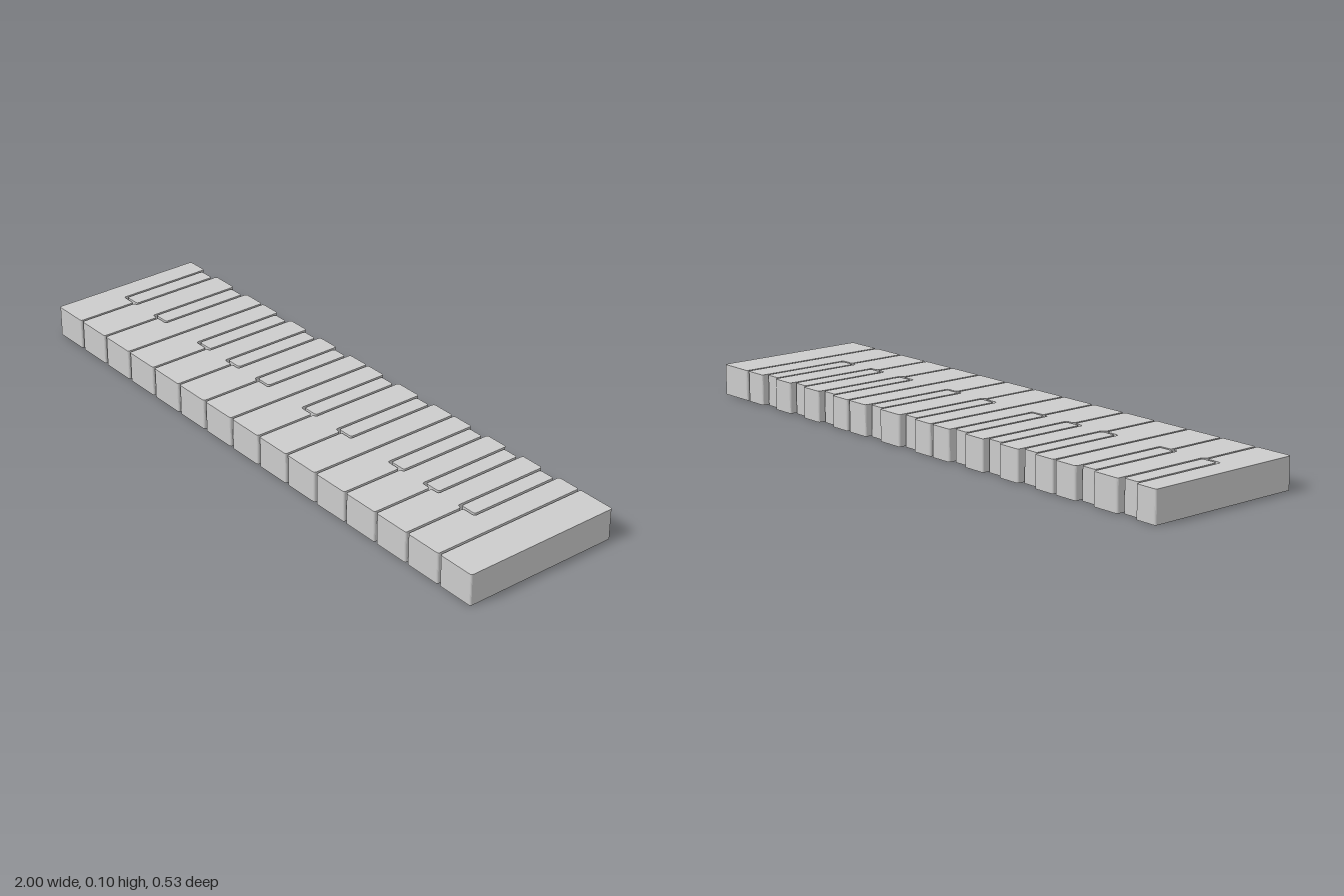
import * as THREE from 'three';

const HEIGHT = 0.1, BACK = -0.265, FRONT = 0.265;
const GAP = 0.008, WHITE_COUNT = 15;
const PITCH = (2 + GAP) / WHITE_COUNT, OCTAVE = 7 * PITCH;
const SHARP_HALF = 0.027, NOTCH_HALF = 0.035, NOTCH_Z = 0.061;
const SHARP_BACK = -0.25, SHARP_FRONT = 0.053, RADIUS = 0.008;

// sharp key centres in the first octave, by the natural key on their right-hand edge
const SHARPS = { 0: -0.89, 1: -0.725, 3: -0.487, 4: -0.336, 5: -0.185 };

const material = new THREE.MeshStandardMaterial({ color: 0xcccccc });

// closed outline of [x, z] corners, each eased by a small radius
function roundedShape(corners) {
  const shape = new THREE.Shape();
  const pts = corners.map(([x, z]) => new THREE.Vector2(x, -z));
  const n = pts.length;
  pts.forEach((p, i) => {
    const toward = (q) => p.clone().add(q.clone().sub(p).setLength(RADIUS));
    const a = toward(pts[(i + n - 1) % n]), b = toward(pts[(i + 1) % n]);
    if (i === 0) shape.moveTo(a.x, a.y);
    else shape.lineTo(a.x, a.y);
    shape.quadraticCurveTo(p.x, p.y, b.x, b.y);
  });
  shape.closePath();
  return shape;
}

function makeKey(name, corners) {
  const geometry = new THREE.ExtrudeGeometry(roundedShape(corners), {
    depth: HEIGHT, bevelEnabled: false, curveSegments: 4,
  });
  geometry.rotateX(-Math.PI / 2);
  const mesh = new THREE.Mesh(geometry, material);
  mesh.name = name;
  return mesh;
}

// centre of the sharp key to the right of natural key i, if there is one
function sharpAfter(i) {
  if (i < 0 || i >= WHITE_COUNT - 1) return undefined;
  const base = SHARPS[i % 7];
  return base === undefined ? undefined : base + Math.floor(i / 7) * OCTAVE;
}

export function createModel() {
  const model = new THREE.Group();
  model.name = 'keyboard';
  const naturals = new THREE.Group(), sharps = new THREE.Group();
  naturals.name = 'naturalKeys';
  sharps.name = 'sharpKeys';
  model.add(naturals, sharps);

  for (let i = 0; i < WHITE_COUNT; i++) {
    const x0 = -1 + i * PITCH, x1 = x0 + PITCH - GAP;
    const before = sharpAfter(i - 1), after = sharpAfter(i);

    // natural key: wide front, narrowed at the back beside each sharp key
    const corners = [[x0, FRONT], [x1, FRONT]];
    if (after !== undefined) {
      corners.push([x1, NOTCH_Z], [after - NOTCH_HALF, NOTCH_Z], [after - NOTCH_HALF, BACK]);
    } else corners.push([x1, BACK]);
    if (before !== undefined) {
      corners.push([before + NOTCH_HALF, BACK], [before + NOTCH_HALF, NOTCH_Z], [x0, NOTCH_Z]);
    } else corners.push([x0, BACK]);
    naturals.add(makeKey('naturalKey' + (i + 1), corners));

    // sharp key: slim bar set between two naturals
    if (after !== undefined) {
      const l = after - SHARP_HALF, r = after + SHARP_HALF;
      sharps.add(makeKey('sharpKey' + (sharps.children.length + 1), [
        [l, SHARP_FRONT], [r, SHARP_FRONT], [r, SHARP_BACK], [l, SHARP_BACK],
      ]));
    }
  }
  return model;
}
